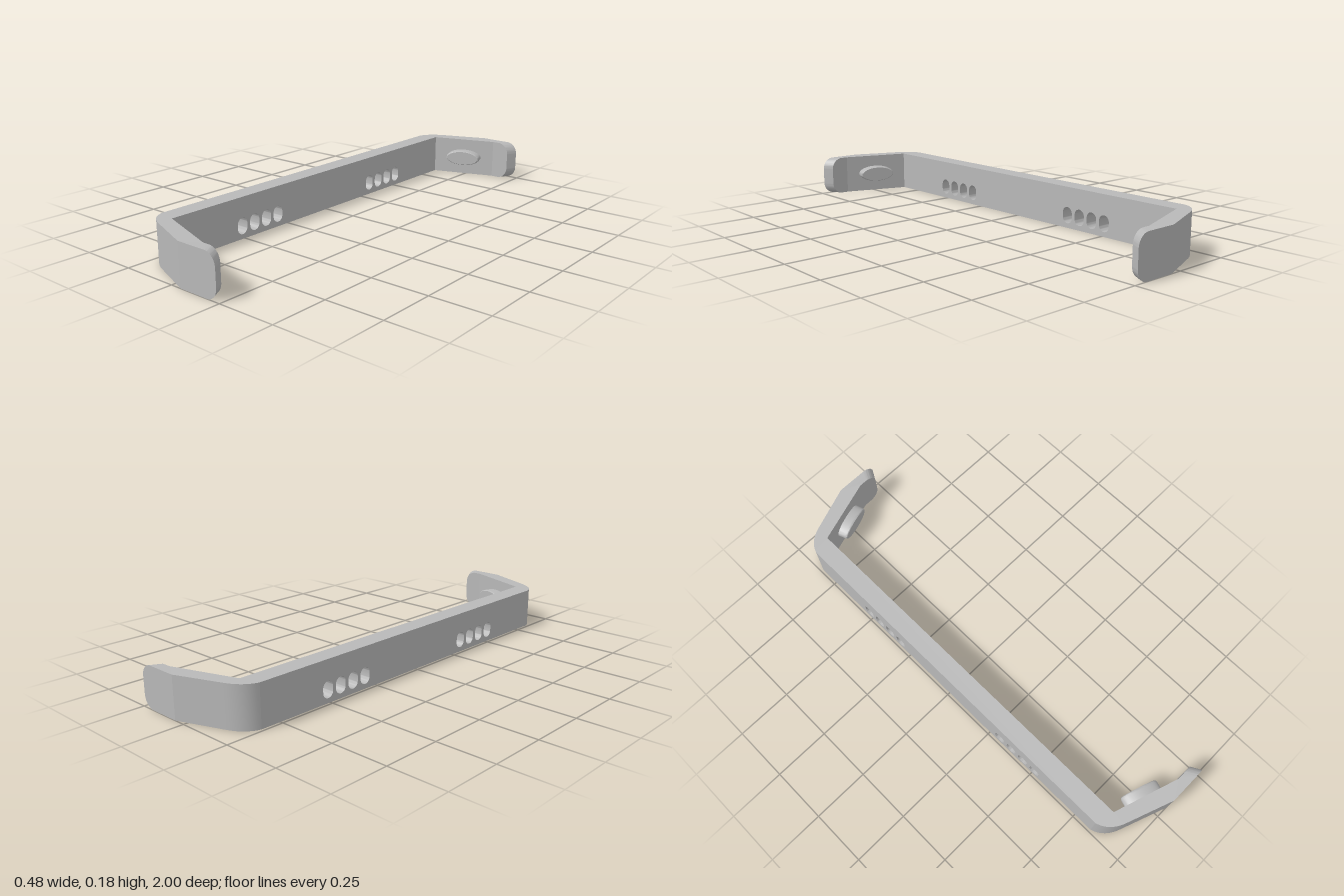
import * as THREE from 'three';
import { toCreasedNormals } from 'three/addons/utils/BufferGeometryUtils.js';

const H = 0.177;          // bracket height
const BACK = -0.238;      // outer face of the long bar
const INNER = -0.155;     // inner face of the long bar
const BEND = 0.838;       // z where the corner bend begins
const TIP = 0.238;        // far end of each arm

const grey = new THREE.MeshStandardMaterial({ color: 0xb8b8b8 });
grey.name = 'grey';

function part(name, geometry) {
  const mesh = new THREE.Mesh(toCreasedNormals(geometry, 0.5), grey);
  mesh.name = name;
  return mesh;
}

const extrude = (shape, depth) =>
  new THREE.ExtrudeGeometry(shape, { depth, bevelEnabled: false, curveSegments: 10 });

// Upright vent slot with round ends
function slot(cx, cy, halfW, halfH) {
  const s = new THREE.Path();
  const k = halfH - halfW;
  s.absarc(cx, cy + k, halfW, 0, Math.PI, false);
  s.absarc(cx, cy - k, halfW, Math.PI, Math.PI * 2, false);
  s.closePath();
  return s;
}

// Long bar pierced by two groups of four slots
function makeBar() {
  const s = new THREE.Shape();
  s.moveTo(-BEND, 0).lineTo(BEND, 0).lineTo(BEND, H).lineTo(-BEND, H).closePath();
  for (const side of [-1, 1]) {
    for (let i = 0; i < 4; i++) s.holes.push(slot(side * (0.308 + i * 0.0675), 0.055, 0.026, 0.035));
  }
  const g = extrude(s, INNER - BACK);
  g.rotateY(Math.PI / 2).translate(BACK, 0, 0);
  return part('bar', g);
}

// Rounded corner and slanted arm, drawn in plan (x, z)
function makeArm() {
  const s = new THREE.Shape();
  s.moveTo(INNER, BEND).lineTo(INNER, 0.86).lineTo(0.13, 0.955).lineTo(0.05, 1);
  s.lineTo(-0.145, 0.927);
  s.quadraticCurveTo(-0.222, 0.9, BACK, BEND);
  s.closePath();
  const g = extrude(s, H);
  g.rotateX(Math.PI / 2).translate(0, H / 2, 0);
  return part('arm', g);
}

// End tab with rounded corners, narrowing towards its inner face
function makeTab() {
  const r = 0.052, h = H / 2, depth = 0.045;
  const s = new THREE.Shape();
  s.moveTo(0.05, -h).lineTo(TIP - r, -h);
  s.absarc(TIP - r, -h + r, r, -Math.PI / 2, 0, false);
  s.absarc(TIP - r, h - r, r, 0, Math.PI / 2, false);
  s.lineTo(0.05, h).closePath();
  const g = extrude(s, depth);
  const p = g.attributes.position;
  for (let i = 0; i < p.count; i++) {
    const t = 1 - p.getZ(i) / depth;
    p.setX(i, p.getX(i) + t * (p.getX(i) < 0.06 ? 0.08 : -0.025));
  }
  g.translate(0, 0, 1 - depth);
  return part('tab', g);
}

// Oval locating stud with a softened rim, standing on the arm's inner face
function makeStud() {
  const profile = [[1, -0.01], [1, 0.036], [0.97, 0.043], [0.91, 0.046], [0, 0.046]]
    .map(([x, y]) => new THREE.Vector2(x, y));
  const g = new THREE.LatheGeometry(profile, 40);
  g.scale(0.085, 1, 0.036);
  g.rotateX(-Math.PI / 2);
  g.rotateY(-Math.atan2(0.095, 0.285));
  g.translate(-0.009, 0, 0.909);
  return part('stud', g);
}

export function createModel() {
  const model = new THREE.Group();
  model.name = 'bracket';
  model.add(makeBar());
  // The end is symmetric in height, so half a turn about x mirrors it
  for (const name of ['frontEnd', 'backEnd']) {
    const end = new THREE.Group();
    end.name = name;
    end.add(makeArm(), makeTab(), makeStud());
    end.position.y = H / 2;
    if (name === 'backEnd') end.rotation.x = Math.PI;
    model.add(end);
  }
  return model;
}
